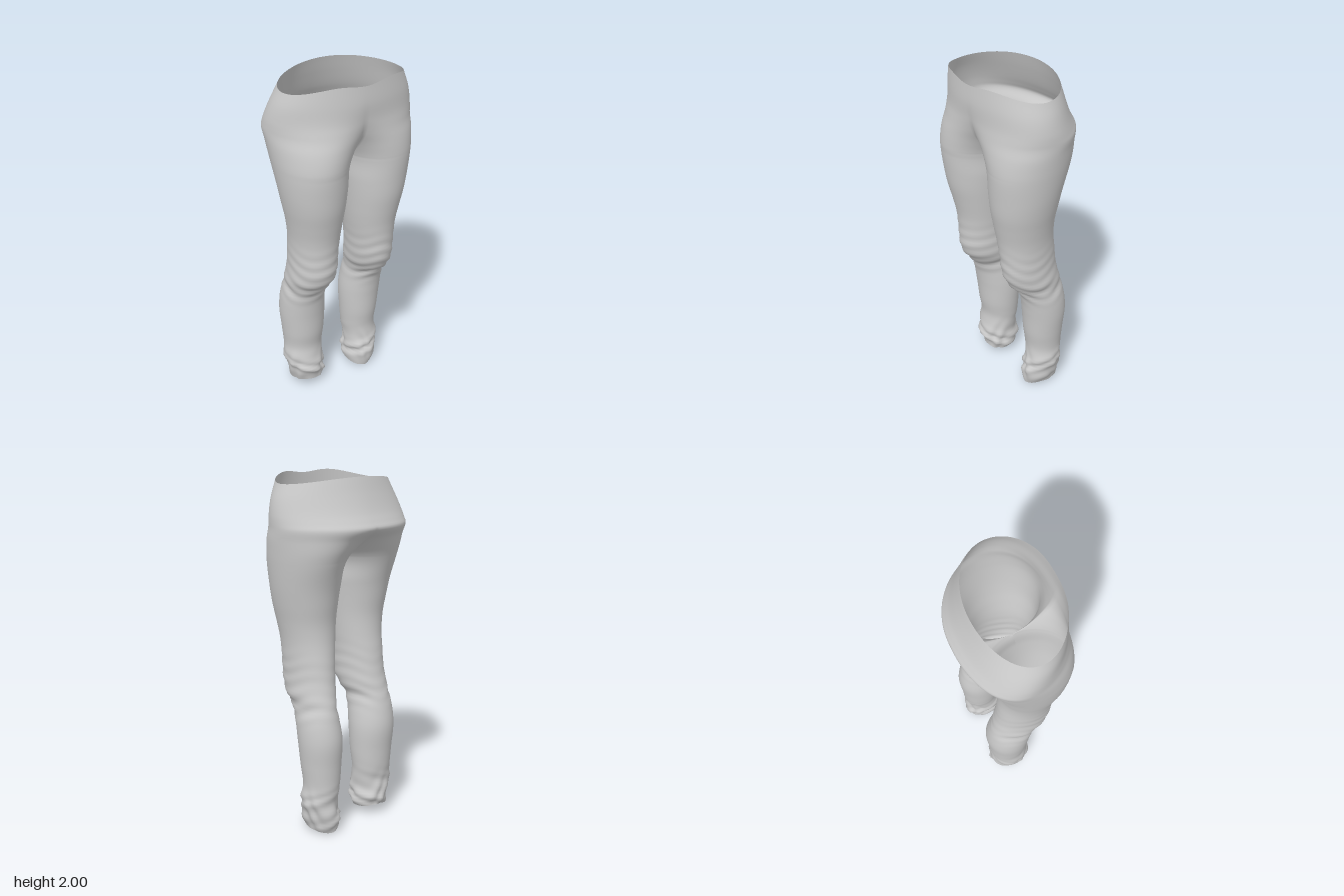
import * as THREE from 'three';
import { mergeVertices } from 'three/addons/utils/BufferGeometryUtils.js';

const CROTCH = 1.54, LEDGE = 1.72, AROUND = 72;

// Height, outer x, front z, back z, inner x of the front arc and of the back arc.
// A negative inner x means the arc runs over the middle and is cut at x = 0.
const PROFILE = [
  [0.00, 0.270, 0.045, -0.160, 0.095, 0.095],
  [0.06, 0.295, 0.055, -0.178, 0.080, 0.080],
  [0.12, 0.305, 0.055, -0.180, 0.085, 0.085],
  [0.20, 0.314, 0.045, -0.175, 0.085, 0.085],
  [0.28, 0.308, 0.035, -0.182, 0.078, 0.078],
  [0.40, 0.318, 0.050, -0.190, 0.068, 0.068],
  [0.55, 0.330, 0.065, -0.200, 0.063, 0.063],
  [0.68, 0.325, 0.090, -0.180, 0.075, 0.075],
  [0.74, 0.314, 0.120, -0.165, 0.080, 0.080],
  [0.80, 0.322, 0.170, -0.150, 0.060, 0.060],
  [0.86, 0.318, 0.200, -0.137, 0.055, 0.055],
  [1.00, 0.318, 0.216, -0.120, 0.050, 0.050],
  [1.10, 0.323, 0.227, -0.110, 0.042, 0.042],
  [1.20, 0.338, 0.246, -0.110, 0.033, 0.033],
  [1.30, 0.358, 0.265, -0.125, 0.023, 0.023],
  [1.40, 0.375, 0.275, -0.145, 0.013, 0.013],
  [CROTCH, 0.392, 0.284, -0.190, 0, 0],
  [1.60, 0.397, 0.284, -0.216, -0.03, -0.05],
  [1.66, 0.401, 0.281, -0.245, -0.08, -0.16],
  [LEDGE, 0.403, 0.277, -0.290, -0.16, -0.37],
  [1.75, 0.402, 0.276, -0.277, -0.20, -0.39],
  [1.80, 0.398, 0.276, -0.252, -0.27, -0.395],
  [1.90, 0.380, 0.283, -0.215, -0.35, -0.38],
  [2.00, 0.350, 0.281, -0.185, -0.35, -0.35],
];
const profile = new THREE.CubicInterpolant(
  PROFILE.map((r) => r[0]), PROFILE.flatMap((r) => r.slice(1)), 5);

const bell = (y, mid, width) => Math.exp(-(((y - mid) / width) ** 2));

// Centre, half width and swept angle of an elliptical arc, cut at x = 0
function arc(y, outer, inner, shift) {
  let tip = y > CROTCH ? Math.min(inner, 0) : y === CROTCH ? 0 : Math.max(inner, 0);
  tip += shift;
  const cx = (outer + tip) / 2, rx = (outer - tip) / 2;
  return { cx, rx, cut: tip < 0, sweep: tip < 0 ? Math.acos(-cx / rx) : Math.PI };
}

// One ring of points; side is +1 for the left half, -1 for the right half
function ring(y, side, hem) {
  const raised = side < 0 ? 0.04 * (1 - THREE.MathUtils.smoothstep(y, 0.1, 0.4)) : 0;
  let [outer, front, back, innerFront, innerBack] = profile.evaluate(y - raised);
  const shift = side > 0 ? 0.028 * (1 - THREE.MathUtils.smoothstep(y, 0.7, 1.2)) : 0;
  if (side < 0 && y < CROTCH) front -= 0.016 * bell(y, 1.1, 0.3);
  const arcs = [arc(y, outer, innerBack, shift), arc(y, outer, innerFront, shift)];
  const cz = (front + back) / 2, rz = (front - back) / 2;

  const points = [];
  for (let j = 0; j <= AROUND; j++) {
    const t = (2 * j) / AROUND - 1;
    const { cx, rx, cut, sweep } = arcs[t < 0 ? 0 : 1];
    const a = t * sweep, s = Math.sin(a), c = Math.cos(a);
    // Knee folds, mostly in front, and the crumpled cuff
    const knee = (0.007 * bell(y, 0.75, 0.07) + 0.003 * bell(y, 0.92, 0.1)) * (0.6 + 0.4 * s)
      * Math.sin(y * 85 + 2 * Math.sin(a * 2 + side) + Math.sin(3 * a));
    const cuff = 0.008 * bell(y, 0.12, 0.1)
      * (Math.sin(2 * a + y * 50 + side + 2 * Math.sin(a + y * 31))
        + 0.7 * Math.sin(5 * a - y * 37 + 2 * Math.sin(3 * a + side)));
    const swell = knee + cuff;
    const x = cut && Math.abs(t) === 1 ? 0 : cx + (rx + swell) * c;
    // The hips are turned slightly about the vertical
    const turn = side * 0.035 * Math.max(0, c) ** 2 * bell(y, 1.78, 0.2);
    let py = y;
    // Wavy waistline and hem
    if (y > LEDGE) {
      const top = 1.95 + (s > 0 ? 0.065 * s * s - 0.03 * s ** 16 : 0.035 * s * s);
      py = LEDGE + ((y - LEDGE) / (2 - LEDGE)) * (top - LEDGE);
    }
    py += 0.009 * Math.sin(2 * a + side) * bell(y, hem, 0.08);
    points.push([x * side, py, cz + (rz + swell) * s + turn]);
  }
  return points;
}

function trousersGeometry() {
  const positions = [], index = [];
  for (const side of [1, -1]) {
    const hem = side > 0 ? 0.01 : 0.052;
    const heights = [];
    for (let i = 0; i < 90; i++) heights.push(THREE.MathUtils.lerp(hem, CROTCH, i / 90));
    for (let i = 0; i <= 46; i++) heights.push(CROTCH + ((2 - CROTCH) * i) / 46);
    const start = positions.length / 3, row = AROUND + 1;
    for (const y of heights) positions.push(...ring(y, side, hem).flat());
    for (let i = 0; i < heights.length - 1; i++) {
      for (let j = 0; j < AROUND; j++) {
        const a = start + i * row + j, b = a + row, c = b + 1, d = a + 1;
        if (side > 0) index.push(a, b, d, b, c, d);
        else index.push(a, d, b, b, d, c);
      }
    }
  }
  const geometry = new THREE.BufferGeometry();
  geometry.setAttribute('position', new THREE.Float32BufferAttribute(positions, 3));
  geometry.setIndex(index);
  // Weld the centre seam and inner leg seams so that shading runs across them
  const welded = mergeVertices(geometry, 1e-4);
  welded.computeVertexNormals();
  return welded;
}

export function createModel() {
  const group = new THREE.Group();
  group.name = 'trousers';
  const cloth = new THREE.MeshStandardMaterial({ color: 0xcccccc, side: THREE.DoubleSide });
  const mesh = new THREE.Mesh(trousersGeometry(), cloth);
  mesh.name = 'trouserCloth';
  group.add(mesh);
  return group;
}
